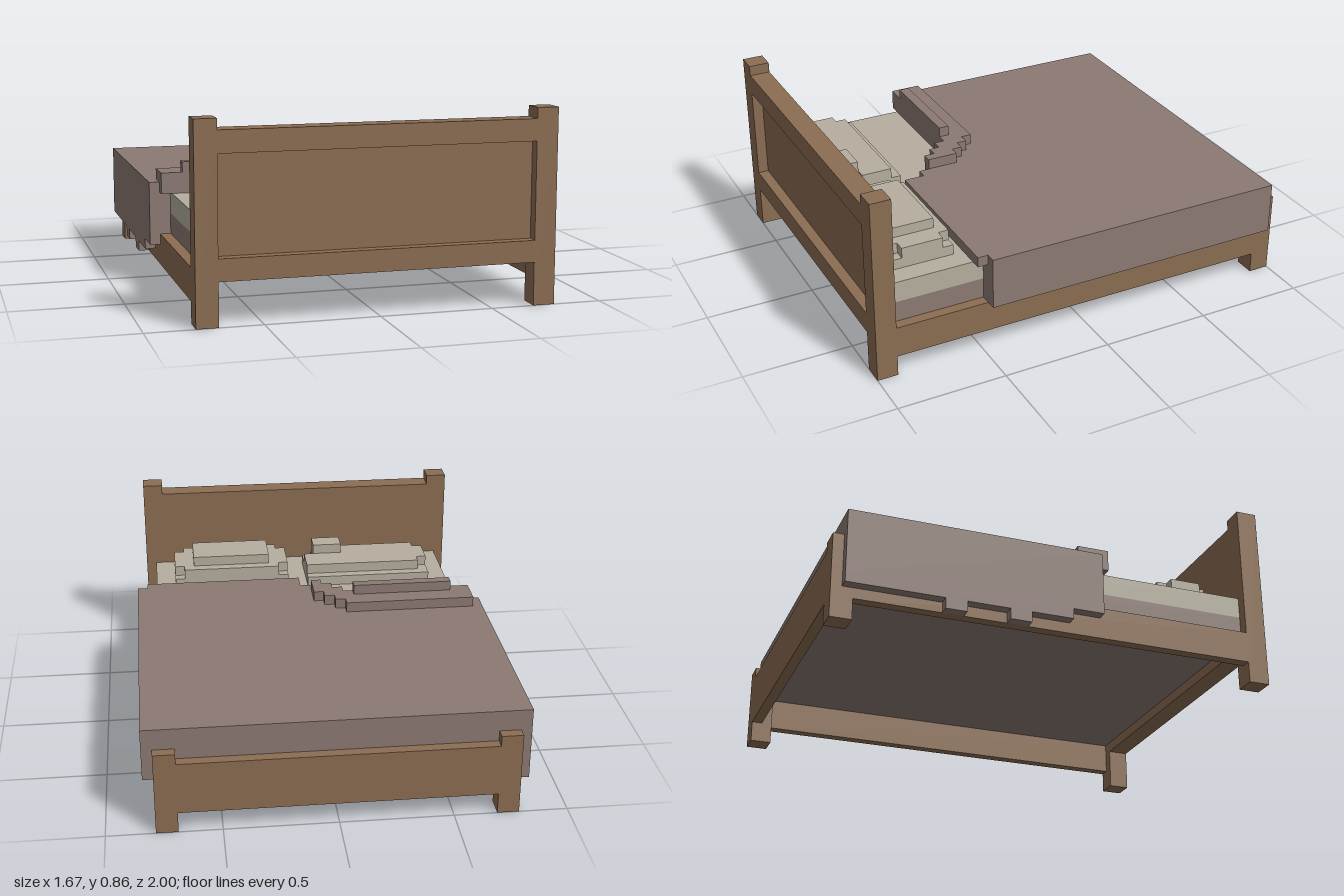
import * as THREE from 'three';

export function createModel() {
  const model = new THREE.Group();
  const material = (name, color) => {
    const m = new THREE.MeshStandardMaterial({ color });
    m.name = name;
    return m;
  };
  const wood = material('wood', 0x8b6d52);
  const cloth = material('blanketCloth', 0x8c7a73);
  const linen = material('linen', 0xb6af9f);

  // Box given by its limits on each axis
  const box = (name, mat, [x0, x1], [y0, y1], [z0, z1]) => {
    const mesh = new THREE.Mesh(new THREE.BoxGeometry(x1 - x0, y1 - y0, z1 - z0), mat);
    mesh.position.set((x0 + x1) / 2, (y0 + y1) / 2, (z0 + z1) / 2);
    mesh.name = name;
    model.add(mesh);
  };
  // Flat slab from an x/z outline, between two heights
  const slab = (name, mat, outline, y0, y1) => {
    const shape = new THREE.Shape(outline.map(([x, z]) => new THREE.Vector2(x, z)));
    const geo = new THREE.ExtrudeGeometry(shape, { depth: y1 - y0, bevelEnabled: false });
    geo.rotateX(Math.PI / 2).translate(0, y1, 0);
    const mesh = new THREE.Mesh(geo, mat);
    mesh.name = name;
    model.add(mesh);
  };
  // Rectangle outline with its four corners notched
  const notched = (x0, x1, z0, z1, n = 0.0476) => [
    [x0 + n, z0], [x1 - n, z0], [x1 - n, z0 + n], [x1, z0 + n], [x1, z1 - n], [x1 - n, z1 - n],
    [x1 - n, z1], [x0 + n, z1], [x0 + n, z1 - n], [x0, z1 - n], [x0, z0 + n], [x0 + n, z0 + n],
  ];

  // Posts and side rails, mirrored
  for (const s of [-1, 1]) {
    const span = (a, b) => (s > 0 ? [a, b] : [-b, -a]);
    box('headPost', wood, span(0.69, 0.786), [0, 0.857], [0.905, 1]);
    box('footLeg', wood, span(0.69, 0.786), [0, 0.238], [-1, -0.905]);
    box('footPost', wood, span(0.69, 0.786), [0.238, 0.381], [-1, -0.952]);
    box('sideRail', wood, span(0.738, 0.786), [0.095, 0.238], [-0.905, 0.905]);
  }

  // Headboard with a recessed panel, and footboard
  box('headPanel', wood, [-0.69, 0.69], [0.286, 0.714], [0.905, 0.952]);
  box('headTopRail', wood, [-0.69, 0.69], [0.714, 0.81], [0.905, 1]);
  box('headLowerRail', wood, [-0.69, 0.69], [0.19, 0.286], [0.905, 1]);
  box('footboard', wood, [-0.69, 0.69], [0.095, 0.333], [-1, -0.952]);

  // Mattress
  box('mattressBase', cloth, [-0.738, 0.738], [0.238, 0.333], [-0.952, 0.905]);
  box('mattressTop', linen, [-0.738, 0.738], [0.333, 0.429], [-0.905, 0.905]);

  // Blanket: top with a stepped, turned-back corner
  slab('blanketTop', cloth, [
    [-0.738, -0.952], [0.738, -0.952], [0.738, 0.524], [0.024, 0.524], [0.024, 0.429], [-0.024, 0.429],
    [-0.024, 0.381], [-0.071, 0.381], [-0.071, 0.333], [-0.119, 0.333], [-0.119, 0.286],
    [-0.167, 0.286], [-0.167, 0.238], [-0.738, 0.238],
  ], 0.429, 0.476);
  box('blanketEnd', cloth, [-0.738, 0.738], [0.333, 0.429], [-0.952, -0.905]);
  box('blanketLeftDrape', cloth, [0.738, 0.833], [0.238, 0.476], [-0.952, 0.476]);
  box('blanketLeftCorner', cloth, [0.738, 0.786], [0.429, 0.476], [0.476, 0.524]);
  box('blanketRightInner', cloth, [-0.786, -0.738], [0.238, 0.476], [-0.952, 0.19]);
  box('blanketRightCorner', cloth, [-0.786, -0.738], [0.429, 0.476], [0.19, 0.238]);
  box('blanketRightDrape', cloth, [-0.833, -0.786], [0.19, 0.476], [-0.952, 0.19]);
  box('blanketRightHem', cloth, [-0.833, -0.786], [0.143, 0.19], [-0.952, 0.048]);
  for (const z of [-0.524, -0.238]) {
    box('blanketHemTab', cloth, [-0.833, -0.786], [0.095, 0.143], [z, z + 0.095]);
  }

  // Folded-back edge
  slab('blanketFold', cloth, [
    [-0.786, 0.095], [-0.167, 0.095], [-0.167, 0.143], [-0.119, 0.143], [-0.119, 0.19], [-0.071, 0.19],
    [-0.071, 0.238], [-0.024, 0.238], [-0.024, 0.381], [-0.071, 0.381], [-0.071, 0.333], [-0.119, 0.333],
    [-0.119, 0.286], [-0.167, 0.286], [-0.167, 0.238], [-0.786, 0.238],
  ], 0.476, 0.524);
  box('foldRidge', cloth, [-0.69, -0.214], [0.524, 0.571], [0.19, 0.238]);

  // Left pillow
  box('leftPillowBase', linen, [0.071, 0.643], [0.429, 0.476], [0.571, 0.857]);
  slab('leftPillowMiddle', linen, notched(0.071, 0.643, 0.571, 0.857), 0.476, 0.524);
  box('leftPillowTop', linen, [0.167, 0.548], [0.524, 0.571], [0.619, 0.81]);

  // Right pillow
  slab('rightPillowBase', linen, [
    [-0.643, 0.524], [-0.024, 0.524], [-0.024, 0.81], [-0.071, 0.81], [-0.071, 0.857],
    [-0.595, 0.857], [-0.595, 0.81], [-0.643, 0.81],
  ], 0.429, 0.476);
  slab('rightPillowMiddle', linen, [
    [-0.595, 0.571], [-0.024, 0.571], [-0.024, 0.714], [-0.071, 0.714], [-0.071, 0.81],
    [-0.595, 0.81], [-0.595, 0.762], [-0.643, 0.762], [-0.643, 0.619], [-0.595, 0.619],
  ], 0.476, 0.524);
  box('rightPillowTop', linen, [-0.214, -0.071], [0.524, 0.571], [0.714, 0.81]);

  return model;
}
